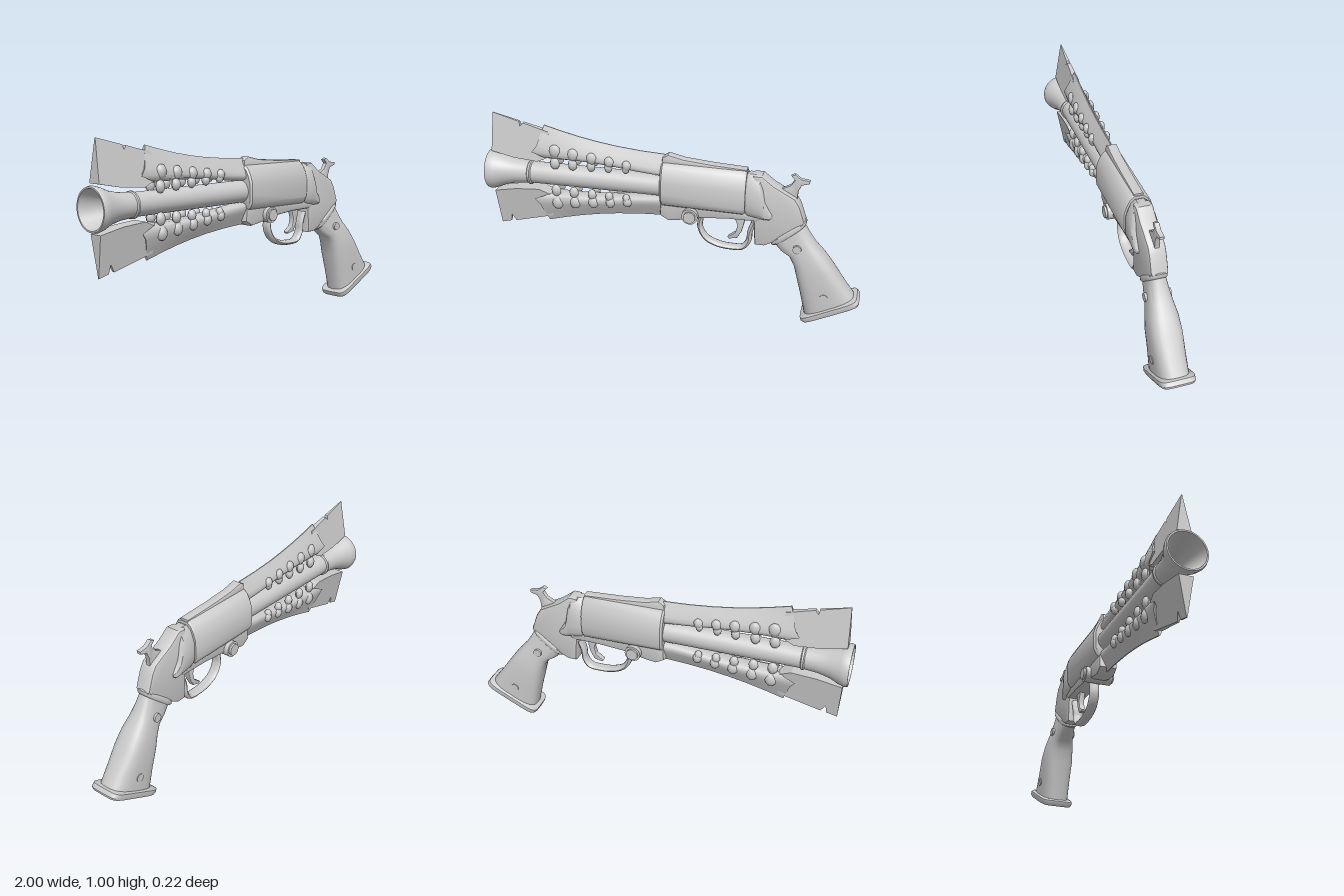
import * as THREE from 'three';
import { toCreasedNormals } from 'three/addons/utils/BufferGeometryUtils.js';

const AXIS_Y = 0.685;
const material = new THREE.MeshStandardMaterial({ color: 0xcccccc, side: THREE.DoubleSide });

function add(parent, name, geometry, crease = 0.7) {
  const mesh = new THREE.Mesh(toCreasedNormals(geometry, crease), material);
  mesh.name = name;
  parent.add(mesh);
  return mesh;
}

// Skin closed rings of points, cap both ends and face outward
function loft(rings) {
  const n = rings[0].length, pos = rings.flat(), index = [];
  for (let r = 0; r < rings.length - 1; r++) {
    for (let i = 0; i < n; i++) {
      const j = (i + 1) % n, a = r * n + i, b = r * n + j;
      index.push(a, b, a + n, b, b + n, a + n);
    }
  }
  for (const [r, flip] of [[0, true], [rings.length - 1, false]]) {
    const c = new THREE.Vector3();
    rings[r].forEach(p => c.addScaledVector(p, 1 / n));
    pos.push(c);
    for (let i = 0; i < n; i++) {
      const a = r * n + i, b = r * n + (i + 1) % n, m = pos.length - 1;
      index.push(...(flip ? [b, a, m] : [a, b, m]));
    }
  }
  let volume = 0;
  for (let i = 0; i < index.length; i += 3) {
    volume += pos[index[i]].dot(pos[index[i + 1]].clone().cross(pos[index[i + 2]]));
  }
  if (volume < 0) index.reverse();
  const g = new THREE.BufferGeometry().setFromPoints(pos);
  g.setIndex(index);
  return g;
}

// Mirrored cross-section at x; profile rows are [height 0..1, width 0..1, x shift]
function section(x, top, bottom, w, profile, shift = 0) {
  const side = s => profile.map(([t, k, dx = 0]) =>
    new THREE.Vector3(x + dx * shift, bottom + (top - bottom) * t, s * w * k));
  return [...side(1), ...side(-1).reverse()];
}

// Rounded cross-section spanning two points of the side outline
function oval(ax, ay, bx, by, w, power) {
  const round = v => Math.sign(v) * Math.abs(v) ** (2 / power);
  return Array.from({ length: 32 }, (_, i) => {
    const a = i / 32 * Math.PI * 2, c = round(Math.cos(a)) / 2;
    return new THREE.Vector3((ax + bx) / 2 + (bx - ax) * c, (ay + by) / 2 + (by - ay) * c, w * round(Math.sin(a)));
  });
}

// Side outline extruded evenly about z = 0
function plate(points, half, bevel = 0.01) {
  const shape = new THREE.Shape(points.map(p => new THREE.Vector2(...p)));
  const g = new THREE.ExtrudeGeometry(shape, {
    depth: 2 * (half - bevel), bevelEnabled: bevel > 0, bevelSize: bevel,
    bevelThickness: bevel, bevelOffset: -bevel, bevelSegments: 2,
  });
  return g.translate(0, 0, bevel - half);
}

function disc(x, y, r, length) {
  return new THREE.CylinderGeometry(r, r, length, 24).rotateX(Math.PI / 2).translate(x, y, 0);
}

// One bladed fin with its laced sheath; s = 1 above the barrel, -1 below
function buildFin(s) {
  const fin = new THREE.Group();
  fin.name = s > 0 ? 'upperFin' : 'lowerFin';
  const Y = y => AXIS_Y + s * (y - AXIS_Y);

  // Nicked blade, thinning to a sharp outer edge
  const nicks = s > 0
    ? [[-0.82, 0.967], [-0.815, 0.943], [-0.8, 0.962]]
    : [[-0.91, 0.99], [-0.903, 0.945], [-0.88, 0.985]];
  const outline = [[-0.965, 1.005], ...nicks, [-0.66, 0.925], [-0.64, 0.8], [-0.72, 0.765], [-0.85, 0.775], [-0.975, 0.8]];
  const blade = plate(outline.map(([x, y]) => [x, Y(y)]), 1, 0);
  const p = blade.attributes.position;
  for (let i = 0; i < p.count; i++) {
    const y = Y(p.getY(i));
    p.setZ(i, p.getZ(i) * (0.002 + 0.17 * (1.005 - y)));
  }
  add(fin, 'blade', blade, 0.3);

  // Wedge-shaped sheath with a ragged mouth
  const wedge = [[0, 0.45, 0.04], [0.08, 0.9, 0], [0.22, 1, -0.06], [0.4, 0.85, -0.035], [0.7, 0.45, -0.018], [1, 0.06, 0]];
  const rows = [
    [-0.685, 0.958, 0.78, 0.05, 1], [-0.6, 0.935, 0.782, 0.05, 0.3], [-0.5, 0.911, 0.782, 0.049, 0],
    [-0.4, 0.892, 0.777, 0.047, 0], [-0.3, 0.877, 0.768, 0.045, 0], [-0.17, 0.864, 0.752, 0.043, 0],
    [-0.04, 0.857, 0.742, 0.043, 0],
  ];
  add(fin, 'sheath', loft(rows.map(([x, t, b, w, shift]) => section(x, Y(t), Y(b), w, wedge, shift))), 0.9);

  // Paired lacing studs on both faces
  [-0.62, -0.522, -0.422, -0.328, -0.235].forEach((x, i) => {
    const size = 1 - i * 0.06;
    for (const side of [1, -1]) {
      const outer = new THREE.SphereGeometry(1, 8, 6).scale(0.032 * size, 0.036 * size, 0.02);
      add(fin, 'stud', outer.translate(x, Y(0.832 - i * 0.011), side * 0.04), 0.9);
      const inner = new THREE.SphereGeometry(1, 8, 6).scale(0.027 * size, 0.033 * size, 0.02);
      add(fin, 'lacePoint', inner.translate(x - 0.005, Y(0.762 + i * 0.002), side * 0.037), 0.9);
    }
  });
  return fin;
}

export function createModel() {
  const model = new THREE.Group();

  // Hollow barrel with a flared muzzle
  const bore = [[0, 0.3], [0.04, 0.3], [0.045, 0.8], [0.06, 0.88], [0.085, 0.96], [0.096, 1], [0.104, 1], [0.108, 0.985],
    [0.1, 0.955], [0.08, 0.91], [0.066, 0.85], [0.06, 0.78], [0.066, 0.775], [0.066, 0.765], [0.058, 0.76], [0.058, 0]];
  const barrel = new THREE.LatheGeometry(bore.map(q => new THREE.Vector2(...q)), 40);
  add(model, 'barrel', barrel.rotateZ(Math.PI / 2).translate(0, AXIS_Y, 0));

  model.add(buildFin(1), buildFin(-1));

  // Receiver body and the shield behind it
  const body = [[0, 0.55], [0.06, 0.8], [0.17, 0.98], [0.36, 1], [0.6, 1], [0.78, 0.82], [0.92, 0.6], [1, 0.3]];
  add(model, 'receiver', loft([
    section(-0.055, 0.812, 0.6, 0.07, body), section(-0.045, 0.822, 0.588, 0.079, body),
    section(0.375, 0.818, 0.582, 0.079, body), section(0.387, 0.81, 0.59, 0.073, body)]));
  add(model, 'shield', loft([
    section(0.387, 0.795, 0.585, 0.065, body), section(0.4, 0.802, 0.575, 0.07, body),
    section(0.455, 0.8, 0.565, 0.07, body), section(0.472, 0.76, 0.562, 0.067, body),
    section(0.485, 0.68, 0.562, 0.064, body), section(0.51, 0.63, 0.565, 0.06, body),
    section(0.525, 0.605, 0.575, 0.05, body)]));
  add(model, 'topStrap', plate([[-0.055, 0.79], [-0.05, 0.845], [-0.02, 0.864], [0.06, 0.845],
    [0.2, 0.832], [0.385, 0.822], [0.385, 0.78]], 0.026, 0.008));
  add(model, 'lowerFrame', plate([[-0.055, 0.62], [-0.06, 0.53], [-0.015, 0.503], [0.05, 0.512],
    [0.14, 0.535], [0.3, 0.548], [0.45, 0.55], [0.5, 0.6]], 0.05, 0.015));

  // Cross bolt
  add(model, 'crossBolt', disc(0.105, 0.552, 0.042, 0.15));
  add(model, 'boltCap', disc(0.105, 0.552, 0.031, 0.172));

  // Rear frame and neck
  add(model, 'rearFrame', plate([[0.42, 0.8], [0.465, 0.802], [0.525, 0.755], [0.635, 0.695], [0.66, 0.655],
    [0.692, 0.565], [0.53, 0.435], [0.49, 0.415], [0.44, 0.415], [0.43, 0.56]], 0.045, 0.014));

  // Hammer
  add(model, 'hammer', plate([[0.53, 0.68], [0.565, 0.735], [0.605, 0.755], [0.625, 0.785], [0.605, 0.808],
    [0.625, 0.816], [0.655, 0.793], [0.7, 0.787], [0.698, 0.772], [0.66, 0.76], [0.645, 0.73], [0.64, 0.66]], 0.013, 0.004));

  // Trigger guard and trigger
  const path = new THREE.CatmullRomCurve3([[0.155, 0.54], [0.147, 0.47], [0.18, 0.41], [0.24, 0.38], [0.31, 0.371],
    [0.375, 0.378], [0.405, 0.42], [0.41, 0.47], [0.43, 0.53]].map(([x, y]) => new THREE.Vector3(x, y, 0)));
  add(model, 'triggerGuard', new THREE.TubeGeometry(path, 48, 0.014, 10).scale(1, 1, 2));
  add(model, 'trigger', plate([[0.325, 0.56], [0.345, 0.5], [0.335, 0.46], [0.295, 0.43], [0.302, 0.42],
    [0.345, 0.43], [0.368, 0.47], [0.378, 0.51], [0.385, 0.56]], 0.016, 0.005));

  // Grip with collar, butt plate and screws
  add(model, 'gripCollar', loft([
    oval(0.526, 0.448, 0.686, 0.575, 0.045, 3), oval(0.518, 0.435, 0.697, 0.572, 0.051, 3),
    oval(0.524, 0.418, 0.698, 0.558, 0.052, 3), oval(0.535, 0.415, 0.692, 0.545, 0.047, 3)]));
  add(model, 'grip', loft([
    oval(0.535, 0.43, 0.685, 0.555, 0.045, 2.8), oval(0.575, 0.388, 0.715, 0.5, 0.053, 2.8),
    oval(0.62, 0.362, 0.752, 0.445, 0.062, 2.8), oval(0.646, 0.315, 0.8, 0.392, 0.074, 2.8),
    oval(0.664, 0.25, 0.85, 0.325, 0.08, 3), oval(0.69, 0.15, 0.91, 0.24, 0.078, 3),
    oval(0.715, 0.04, 0.97, 0.16, 0.077, 3)]));
  add(model, 'buttPlate', loft([
    oval(0.71, 0.037, 0.97, 0.17, 0.082, 6), oval(0.698, 0.026, 0.982, 0.17, 0.09, 6),
    oval(0.703, 0.01, 0.997, 0.153, 0.09, 6), oval(0.714, 0, 0.996, 0.14, 0.084, 6)]));
  add(model, 'upperScrew', disc(0.662, 0.425, 0.022, 0.134));
  add(model, 'lowerScrew', disc(0.815, 0.167, 0.022, 0.162));

  return model;
}
